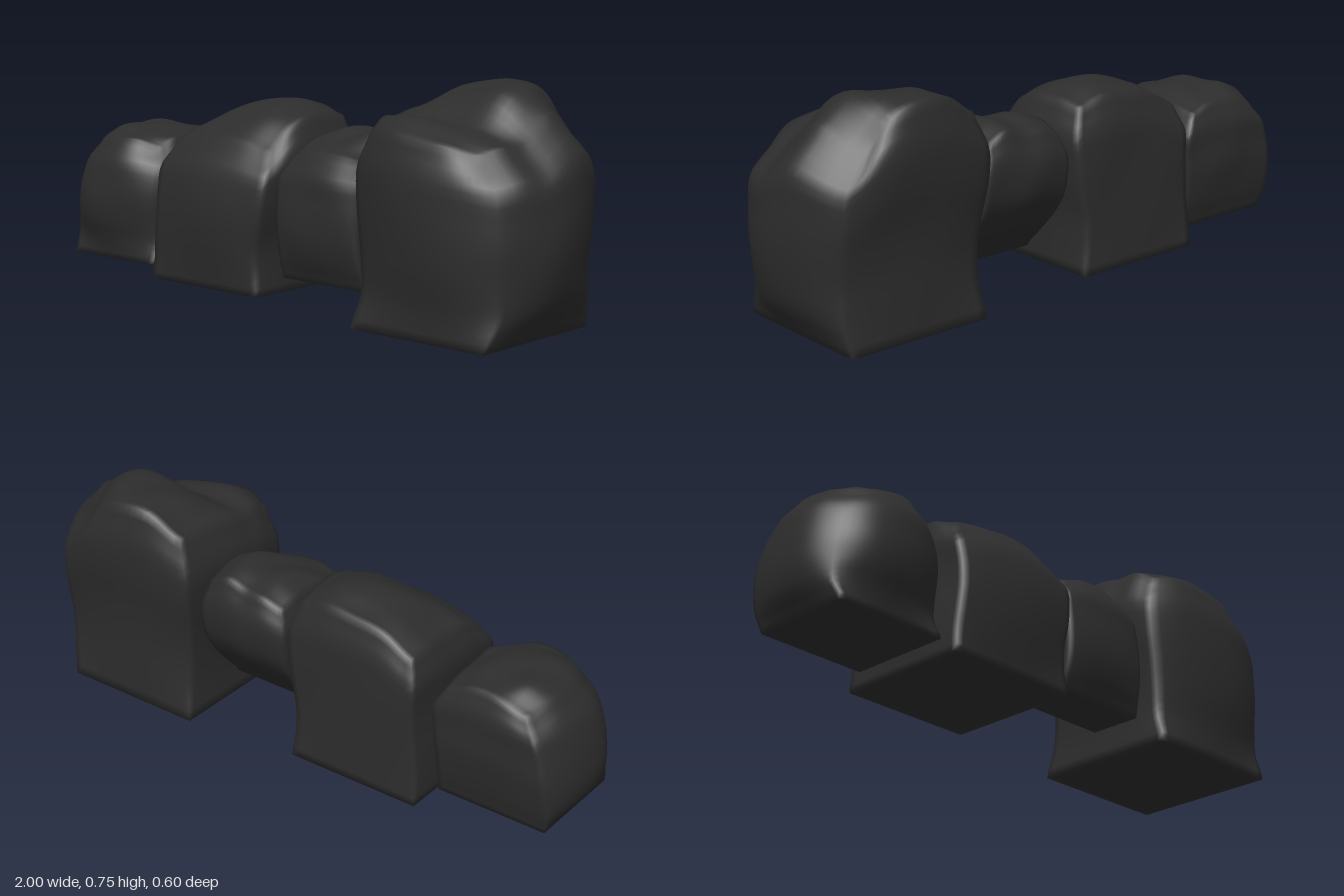
import * as THREE from 'three';
import { mergeVertices } from 'three/addons/utils/BufferGeometryUtils.js';

// Smooth lookup in evenly spaced values, s from 0 to 1
function sample(a, s) {
  const n = a.length - 1;
  const i = Math.min(Math.floor(s * n), n - 1);
  const f = s * n - i;
  const p0 = a[Math.max(i - 1, 0)], p1 = a[i], p2 = a[i + 1], p3 = a[Math.min(i + 2, n)];
  return p1 + 0.5 * f * (p2 - p0 + f * (2 * p0 - 5 * p1 + 4 * p2 - p3 + f * (3 * (p1 - p2) + p3 - p0)));
}

// Pull a side inwards towards its corners
const bow = (along, across, r) => along * (1 - r + r * Math.sqrt(1 - across * across / 2));

// How far the rounding has set in, from the square foot to the top
const rounding = [0, 0.65, 0.95, 1, 1, 1, 0.9];

// A worn block: a box whose sides follow extents from bottom to top,
// and whose crown follows a small height grid (rows from back to front)
function stoneGeometry({ base, x0, x1, z0, z1, round, crown }, seed) {
  let g = new THREE.BoxGeometry(2, 2, 2, 20, 20, 20);
  g.deleteAttribute('normal');
  g.deleteAttribute('uv');
  g = mergeVertices(g);
  const p = g.attributes.position;
  for (let i = 0; i < p.count; i++) {
    const u = p.getX(i), w = p.getZ(i), t = (p.getY(i) + 1) / 2;
    const height = sample(crown.map((row) => sample(row, (u + 1) / 2)), (w + 1) / 2);
    const r = sample(rounding, t);
    const ru = bow(u, w, r * (u < 0 ? round.x0 : round.x1));
    const rw = bow(w, u, r * (w < 0 ? round.z0 : round.z1));
    const lump = 0.003 * Math.sin(Math.PI * t * 0.5);
    const x = THREE.MathUtils.lerp(sample(x0, t), sample(x1, t), (ru + 1) / 2);
    const z = THREE.MathUtils.lerp(sample(z0, t), sample(z1, t), (rw + 1) / 2);
    p.setXYZ(i,
      x + lump * 0.5 * Math.sin(w * 4 + t * 5 + seed),
      base + t * (height - base) + lump * Math.sin(u * 4 + w * 5 + seed) * t,
      z + lump * Math.sin(u * 4 + t * 6 + seed * 2));
  }
  g.computeVertexNormals();
  return g;
}

const stones = {
  smallEndStone: {
    base: 0.063,
    x0: [-0.94, -0.985, -1, -0.995, -0.98, -0.955, -0.895],
    x1: [-0.555, -0.55, -0.545, -0.54, -0.535, -0.54, -0.58],
    z0: [-0.155, -0.175, -0.19, -0.2, -0.2, -0.2, -0.175],
    z1: [0.2, 0.215, 0.24, 0.25, 0.245, 0.23, 0.185],
    round: { x0: 0.75, x1: 0.2, z0: 0.1, z1: 1.15 },
    crown: [
      [0.455, 0.475, 0.485, 0.485, 0.46],
      [0.48, 0.51, 0.507, 0.5, 0.47],
      [0.48, 0.51, 0.51, 0.505, 0.48],
      [0.48, 0.505, 0.505, 0.5, 0.48],
      [0.46, 0.475, 0.48, 0.475, 0.45],
    ],
  },
  domedStone: {
    base: 0.03,
    x0: [-0.52, -0.52, -0.515, -0.508, -0.505, -0.505, -0.475],
    x1: [-0.042, -0.04, -0.035, -0.018, -0.005, 0, -0.035],
    z0: [-0.24, -0.24, -0.24, -0.24, -0.24, -0.235, -0.205],
    z1: [0.23, 0.243, 0.255, 0.26, 0.255, 0.235, 0.175],
    round: { x0: 0.1, x1: 0.3, z0: 0.12, z1: 0.38 },
    crown: [
      [0.52, 0.575, 0.6, 0.61, 0.575],
      [0.53, 0.595, 0.622, 0.627, 0.595],
      [0.53, 0.59, 0.62, 0.625, 0.595],
      [0.525, 0.56, 0.585, 0.588, 0.56],
      [0.49, 0.51, 0.52, 0.515, 0.49],
    ],
  },
  narrowStone: {
    base: 0.093,
    x0: [0.01, 0.008, 0.006, 0.004, 0.003, 0.006, 0.03],
    x1: [0.36, 0.355, 0.352, 0.35, 0.35, 0.345, 0.325],
    z0: [-0.02, -0.09, -0.16, -0.21, -0.23, -0.23, -0.2],
    z1: [0.16, 0.19, 0.21, 0.215, 0.21, 0.2, 0.15],
    round: { x0: 0.15, x1: 0.15, z0: 0.2, z1: 0.35 },
    crown: [
      [0.51, 0.54, 0.545, 0.56, 0.53],
      [0.545, 0.565, 0.56, 0.58, 0.555],
      [0.54, 0.56, 0.555, 0.58, 0.55],
      [0.52, 0.535, 0.535, 0.54, 0.52],
      [0.49, 0.505, 0.505, 0.505, 0.49],
    ],
  },
  tallEndStone: {
    base: 0,
    x0: [0.38, 0.385, 0.38, 0.37, 0.358, 0.358, 0.4],
    x1: [0.89, 0.955, 0.985, 0.998, 0.995, 0.98, 0.875],
    z0: [-0.255, -0.256, -0.258, -0.27, -0.29, -0.293, -0.262],
    z1: [0.258, 0.265, 0.285, 0.295, 0.298, 0.293, 0.262],
    round: { x0: 0.15, x1: 0.9, z0: 0.4, z1: 0.85 },
    crown: [
      [0.66, 0.733, 0.733, 0.7, 0.61],
      [0.66, 0.727, 0.74, 0.735, 0.645],
      [0.655, 0.72, 0.735, 0.745, 0.67],
      [0.65, 0.69, 0.715, 0.715, 0.63],
      [0.64, 0.645, 0.635, 0.63, 0.59],
      [0.645, 0.655, 0.64, 0.62, 0.585],
      [0.6, 0.615, 0.605, 0.59, 0.56],
    ],
  },
};

export function createModel() {
  const group = new THREE.Group();
  group.name = 'stoneRow';
  const darkStone = new THREE.MeshStandardMaterial({ color: 0x2d2d2d });
  darkStone.name = 'dark stone';
  Object.entries(stones).forEach(([name, spec], i) => {
    const mesh = new THREE.Mesh(stoneGeometry(spec, i * 1.7 + 0.5), darkStone);
    mesh.name = name;
    group.add(mesh);
  });
  return group;
}
